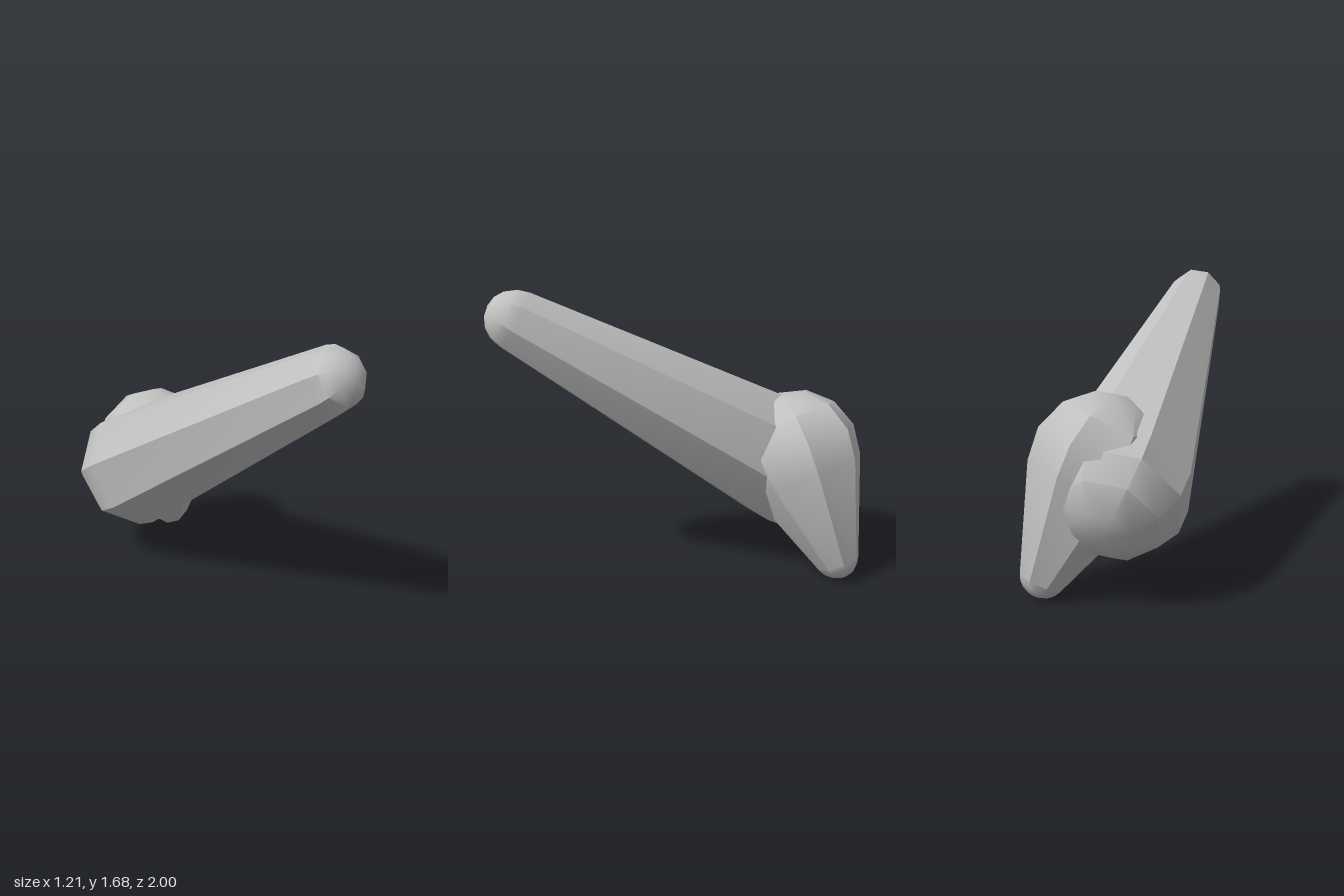
import * as THREE from 'three';
import { toCreasedNormals } from 'three/addons/utils/BufferGeometryUtils.js';

const SIDES = 8;
const CAP_STEPS = 4;

// Eight-sided tapered capsule wrapped around two spheres
function taperedCapsule(name, bigCentre, bigRadius, smallCentre, smallRadius, material) {
  const start = new THREE.Vector3(...bigCentre);
  const axis = new THREE.Vector3(...smallCentre).sub(start);
  const length = axis.length();
  axis.normalize();

  // Profile: big cap, straight tangent side, small cap
  const tilt = Math.asin((bigRadius - smallRadius) / length);
  const profile = [];
  const addArc = (y, r, from, to) => {
    for (let i = 0; i <= CAP_STEPS; i++) {
      const a = from + ((to - from) * i) / CAP_STEPS;
      profile.push(new THREE.Vector2(Math.max(0, r * Math.cos(a)), y + r * Math.sin(a)));
    }
  };
  addArc(0, bigRadius, -Math.PI / 2, tilt);
  addArc(length, smallRadius, tilt, Math.PI / 2);

  const lathe = new THREE.LatheGeometry(profile, SIDES, THREE.MathUtils.degToRad(75));
  const geometry = toCreasedNormals(lathe, 0.7);

  // Stand the profile along the limb axis, with its x direction kept level in z
  const side = new THREE.Vector3(axis.y, -axis.x, 0).normalize();
  const depth = new THREE.Vector3().crossVectors(side, axis);
  geometry.applyMatrix4(new THREE.Matrix4().makeBasis(side, axis, depth).setPosition(start));

  const mesh = new THREE.Mesh(geometry, material);
  mesh.name = name;
  return mesh;
}

export function createModel() {
  const grey = new THREE.MeshStandardMaterial({ color: 0xc0c0c0 });
  grey.name = 'plain grey';

  const group = new THREE.Group();
  group.name = 'bentLimb';
  group.add(
    // Long limb reaching forwards and up
    taperedCapsule('longLimb', [-0.225, 0.58, -0.57], 0.385, [0.43, 1.51, 0.83], 0.172, grey),
    // Short limb pointing down at the back
    taperedCapsule('shortLimb', [-0.11, 0.70, -0.62], 0.365, [0.03, 0.13, -0.87], 0.132, grey)
  );
  return group;
}
